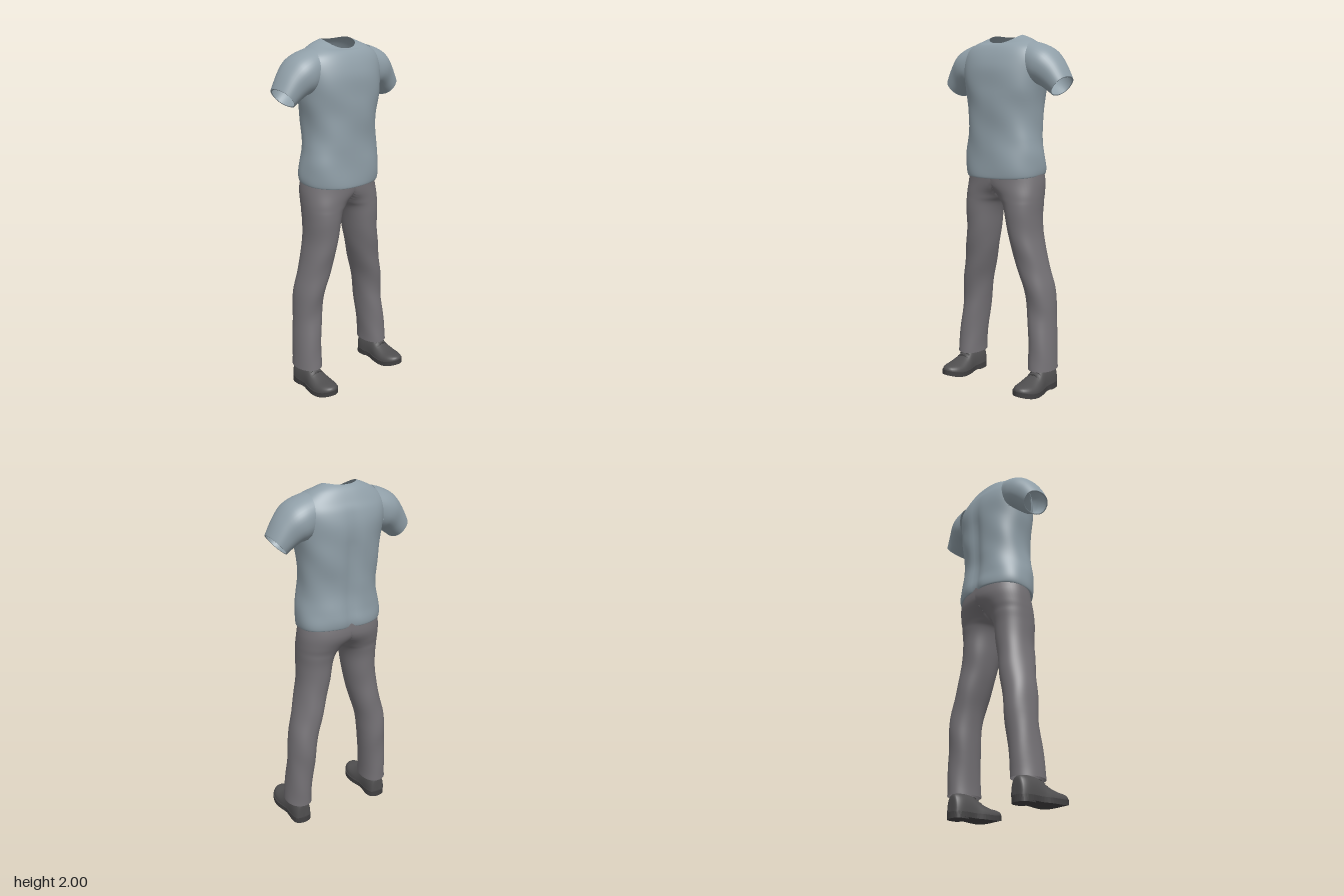
import * as THREE from 'three';
import { mergeVertices } from 'three/addons/utils/BufferGeometryUtils.js';

// The outfit faces +x; z runs across the shoulders.

function material(name, color, side = THREE.FrontSide) {
  const m = new THREE.MeshStandardMaterial({ color, side });
  m.name = name;
  return m;
}

function mesh(name, geometry, mat) {
  const m = new THREE.Mesh(geometry, mat);
  m.name = name;
  return m;
}

// Smoothly fills in rows of section values between the given ones
function fill(rows, steps) {
  const out = [];
  const last = rows.length - 1;
  for (let i = 0; i < last; i++) {
    const p = rows[Math.max(i - 1, 0)], a = rows[i], b = rows[i + 1], q = rows[Math.min(i + 2, last)];
    for (let k = 0; k < steps; k++) {
      const t = k / steps, t2 = t * t, t3 = t2 * t;
      out.push(a.map((v, c) => 0.5 * (2 * v + (b[c] - p[c]) * t
        + (2 * p[c] - 5 * v + 4 * b[c] - q[c]) * t2 + (3 * v - p[c] - 3 * b[c] + q[c]) * t3)));
    }
  }
  out.push(rows[last]);
  return out;
}

// Skins closed rings of points; skip(corners) can leave openings
function loft(rows, n, point, skip = () => false) {
  const pts = [], index = [];
  rows.forEach((row) => {
    for (let j = 0; j < n; j++) pts.push(point(row, (j / n) * Math.PI * 2));
  });
  for (let i = 0; i < rows.length - 1; i++) {
    for (let j = 0; j < n; j++) {
      const a = i * n + j, b = i * n + (j + 1) % n, c = b + n, d = a + n;
      if (!skip([a, b, c, d].map((k) => pts[k]))) index.push(a, d, c, a, c, b);
    }
  }
  return { pts, index };
}

function toGeometry(...parts) {
  const pos = [], index = [];
  for (const part of parts) {
    const base = pos.length / 3;
    part.pts.forEach((p) => pos.push(...p));
    part.index.forEach((k) => index.push(k + base));
  }
  let g = new THREE.BufferGeometry();
  g.setAttribute('position', new THREE.Float32BufferAttribute(pos, 3));
  g.setIndex(index);
  g = mergeVertices(g, 1e-5);
  g.computeVertexNormals();
  return g;
}

const power = (v, p) => Math.sign(v) * Math.pow(Math.abs(v), 2 / p);

function shirtBody() {
  // y, centre x, half depth, half width, tilt, side lift
  const rows = fill([
    [1.228, -0.04, 0.158, 0.226, -0.09, 0], [1.230, -0.04, 0.168, 0.238, -0.09, 0],
    [1.27, -0.04, 0.171, 0.243, -0.06, 0], [1.34, -0.037, 0.166, 0.239, 0, 0],
    [1.42, -0.035, 0.161, 0.226, 0, 0], [1.5, -0.037, 0.162, 0.220, 0, 0],
    [1.6, -0.04, 0.168, 0.226, 0, 0], [1.7, -0.04, 0.171, 0.242, 0, 0],
    [1.8, -0.043, 0.169, 0.257, 0, 0], [1.87, -0.045, 0.153, 0.262, 0, 0],
    [1.92, -0.045, 0.130, 0.243, 0, 0], [1.955, -0.045, 0.108, 0.190, -0.08, 0.005],
    [1.968, -0.045, 0.090, 0.140, -0.2, 0.014], [1.975, -0.045, 0.075, 0.098, -0.27, 0.022],
  ], 5);
  const point = ([y, cx, rx, rz, tilt, lift], a) => {
    // soft cloth folds, fading out toward the neckline
    const soft = Math.min(1, Math.max(0, (1.9 - y) / 0.2));
    const fold = 1 + soft * (0.012 * Math.sin(3 * a + y * 17) + 0.010 * Math.sin(5 * a - y * 26));
    let dx = power(Math.cos(a), 2.35) * rx * fold;
    const z = power(Math.sin(a), 2.35) * rz * (1 + (fold - 1) * 0.6);
    // spine hollow
    if (dx < 0) dx += soft * 0.016 * Math.exp(-((z / 0.035) ** 2));
    return [cx + dx, y + tilt * dx + lift * Math.sin(a) ** 2, z];
  };
  // openings into the sleeves
  const armhole = (q) => {
    const [x, y, z] = [0, 1, 2].map((c) => q.reduce((s, p) => s + p[c] / 4, 0));
    return Math.abs(z) > 0.17 && y > 1.735 && y < 1.88 && Math.abs(x + 0.055) < 0.075;
  };
  return toGeometry(loft(rows, 72, point, armhole));
}

function sleeve(side) {
  // top z, top y, bottom z, bottom y, half depth
  const rows = fill([
    [0.19, 1.962, 0.215, 1.725, 0.118], [0.255, 1.943, 0.232, 1.722, 0.122],
    [0.315, 1.910, 0.252, 1.718, 0.116], [0.367, 1.850, 0.285, 1.697, 0.098],
    [0.408, 1.778, 0.322, 1.672, 0.085], [0.411, 1.768, 0.326, 1.668, 0.083],
    [0.405, 1.764, 0.329, 1.673, 0.077],
  ], 4);
  return toGeometry(loft(rows, 40, ([tz, ty, bz, by, rx], a) => {
    const s = power(Math.sin(-side * a), 2.2) / 2;
    return [-0.055 + power(Math.cos(a), 2.2) * rx, (ty + by) / 2 + (ty - by) * s,
      side * ((tz + bz) / 2 + (tz - bz) * s)];
  }));
}

function trousers() {
  // y, centre x, half depth, centre z, half width
  const rows = fill([
    [0.125, -0.04, 0.100, 0.264, 0.075], [0.2, -0.042, 0.097, 0.260, 0.074],
    [0.4, -0.058, 0.093, 0.243, 0.077], [0.5, -0.060, 0.095, 0.234, 0.080],
    [0.6, -0.055, 0.100, 0.220, 0.083], [0.7, -0.045, 0.104, 0.194, 0.086],
    [0.8, -0.034, 0.108, 0.169, 0.089], [0.9, -0.030, 0.114, 0.151, 0.091],
    [1.0, -0.026, 0.120, 0.142, 0.098], [1.06, -0.030, 0.125, 0.134, 0.108],
    [1.09, -0.033, 0.128, 0.122, 0.121], [1.13, -0.040, 0.136, 0.100, 0.144],
    [1.2, -0.050, 0.151, 0.030, 0.212], [1.3, -0.045, 0.145, 0.0, 0.226],
  ], 4);
  // each half is cut flat at the middle, where the two join
  const half = (side) => loft(rows, 56, ([y, cx, rx, cz, rz], a) => {
    const s = side * a;
    const z = Math.max(0, cz + power(Math.sin(s), 2.15) * rz);
    const shift = 0.01 * Math.min(1, Math.max(0, (1 - y) / 0.5));
    const crease = 0.003 * Math.sin(y * 23 + 2 * s) * Math.min(1, Math.max(0, (1.05 - y) * 4));
    return [cx + power(Math.cos(s), 2.15) * rx + crease, y, side * z - shift];
  }, (q) => q.every((p) => p[2] === 0));
  return toGeometry(half(1), half(-1));
}

const toeLift = (x) => (x > 0.1 ? 1.6 * (x - 0.1) ** 2 : 0);

// Flat slab with a rounded outline, top at the given height
function slab(outline, top, depth) {
  const mirrored = outline.slice(1, -1).reverse().map(([x, z]) => [x, -z]);
  const pts = [...outline, ...mirrored].map(([x, z]) => new THREE.Vector2(x, z));
  const curve = new THREE.CatmullRomCurve3(pts.map((p) => new THREE.Vector3(p.x, p.y, 0)), true);
  const shape = new THREE.Shape(curve.getPoints(56).slice(0, -1).map((p) => new THREE.Vector2(p.x, p.y)));
  const g = new THREE.ExtrudeGeometry(shape, { depth, bevelEnabled: false });
  g.rotateX(Math.PI / 2).translate(0, top, 0);
  const p = g.attributes.position;
  for (let i = 0; i < p.count; i++) p.setY(i, p.getY(i) + toeLift(p.getX(i)));
  g.computeVertexNormals();
  return g;
}

function shoe(leather, rubber) {
  const group = new THREE.Group();
  group.name = 'shoe';
  // x, half width, height above the sole
  const rows = fill([
    [-0.124, 0.001, 0.001], [-0.124, 0.028, 0.075], [-0.115, 0.046, 0.100], [-0.08, 0.055, 0.108],
    [-0.02, 0.054, 0.108], [0.02, 0.057, 0.096], [0.06, 0.065, 0.070], [0.11, 0.069, 0.052],
    [0.16, 0.060, 0.042], [0.195, 0.038, 0.028], [0.208, 0.014, 0.012], [0.209, 0.001, 0.001],
  ], 3);
  const upper = loft(rows, 40, ([x, w, h], a) => [
    x, 0.032 + toeLift(x) + Math.max(0, power(Math.sin(a), 2.4)) * h, power(Math.cos(a), 2.4) * w,
  ]);
  group.add(mesh('shoeUpper', toGeometry(upper), leather));
  group.add(mesh('sole', slab([[-0.132, 0], [-0.115, 0.046], [-0.06, 0.059], [0, 0.057], [0.06, 0.071],
    [0.11, 0.075], [0.16, 0.066], [0.2, 0.036], [0.216, 0]], 0.036, 0.028), rubber));
  group.add(mesh('heel', slab([[-0.132, 0], [-0.115, 0.046], [-0.07, 0.057], [-0.04, 0.05], [-0.035, 0]],
    0.02, 0.02), rubber));
  // laces
  [[0.018, 0.097], [0.037, 0.086], [0.056, 0.073]].forEach(([x, h]) => {
    const y = 0.032 + h;
    const path = new THREE.CatmullRomCurve3([-0.036, -0.02, 0, 0.02, 0.036].map((z) =>
      new THREE.Vector3(x, y + 0.002 - 10 * z * z, z)));
    group.add(mesh('lace', new THREE.TubeGeometry(path, 12, 0.004, 6), rubber));
  });
  return group;
}

export function createModel() {
  const cloth = material('blueGreyCloth', 0x909fa8, THREE.DoubleSide);
  const twill = material('greyTwill', 0x757276, THREE.DoubleSide);
  const leather = material('darkLeather', 0x504f50);
  const rubber = material('soleRubber', 0x424142);

  const model = new THREE.Group();
  model.name = 'outfit';
  model.add(mesh('shirtBody', shirtBody(), cloth));
  model.add(mesh('trousers', trousers(), twill));
  for (const side of [1, -1]) {
    model.add(mesh('sleeve', sleeve(side), cloth));
    const s = shoe(leather, rubber);
    s.position.z = side * 0.264 - 0.01;
    model.add(s);
  }
  return model;
}
